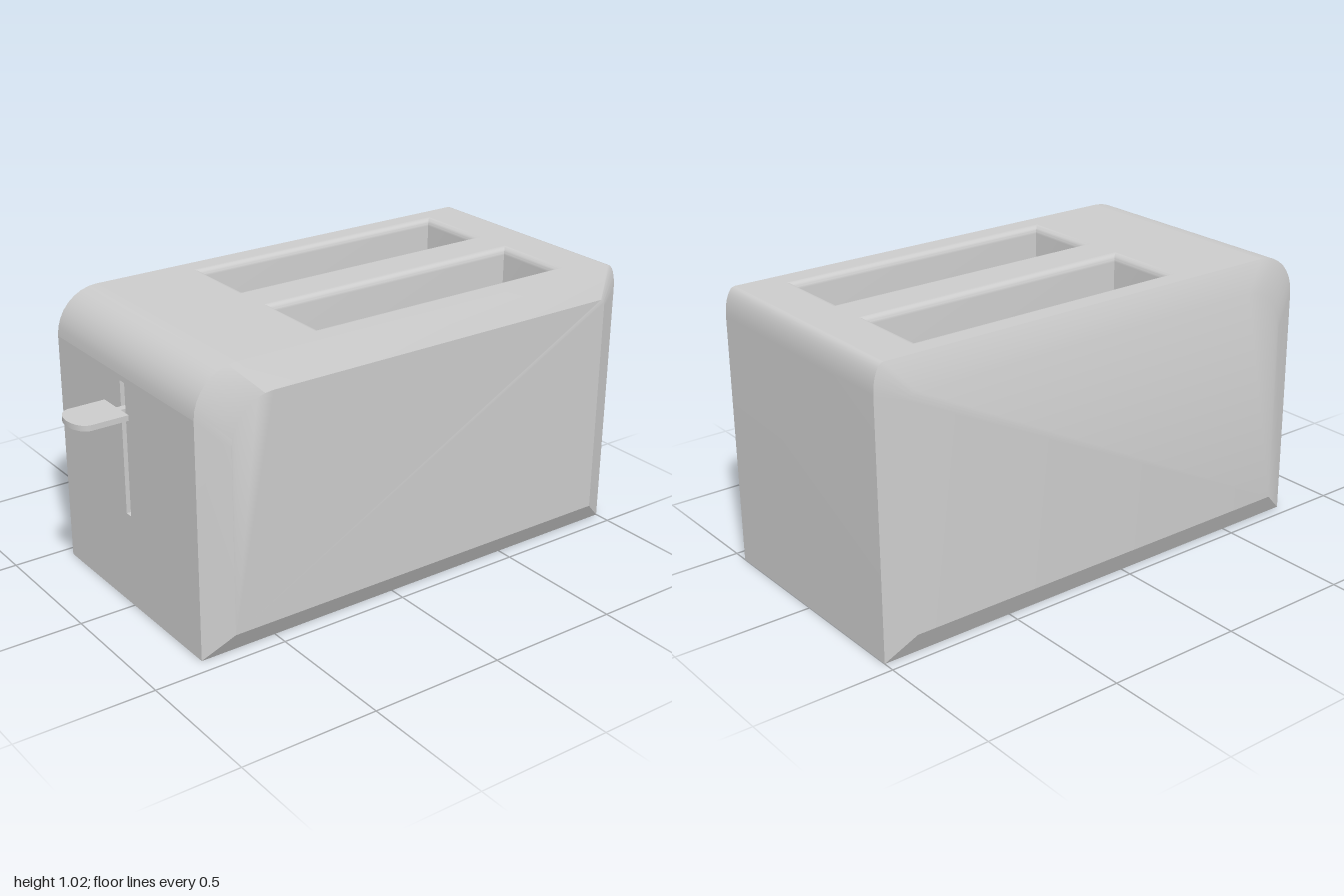
import * as THREE from 'three';
import { toCreasedNormals } from 'three/addons/utils/BufferGeometryUtils.js';

const material = new THREE.MeshStandardMaterial({ color: 0xcccccc });
const V = (x, y, z) => new THREE.Vector3(x, y, z);
const ARC = 8;
const LEFT = 1, RIGHT = -0.79, TOP = 1.02, FRONT = 0.44, BACK = -0.455;

// Skin a row of closed loops, with optional flat ends
function loft(loops, { startCap = false, endCap = false, skip = () => false } = {}) {
  const pos = [];
  const tri = (...points) => points.forEach((p) => pos.push(p.x, p.y, p.z));
  const n = loops[0].length;
  for (let i = 0; i < loops.length - 1; i++) {
    for (let j = 0; j < n; j++) {
      if (skip(i, j)) continue;
      const k = (j + 1) % n;
      const a = loops[i][j], b = loops[i][k], c = loops[i + 1][k], d = loops[i + 1][j];
      tri(a, b, c);
      tri(a, c, d);
    }
  }
  const first = loops[0], last = loops[loops.length - 1];
  for (let j = 1; j < n - 1; j++) {
    if (startCap) tri(first[0], first[j + 1], first[j]);
    if (endCap) tri(last[0], last[j], last[j + 1]);
  }
  const geometry = new THREE.BufferGeometry();
  geometry.setAttribute('position', new THREE.Float32BufferAttribute(pos, 3));
  return toCreasedNormals(geometry, THREE.MathUtils.degToRad(25));
}

// Side outline: square at the bottom, a separate rounding at each upper corner
function outline(z, x0, x1, y0, y1, rx, ry, r) {
  const points = [V(x0, y0, z), V(x1, y0, z)];
  for (let i = 0; i <= ARC; i++) {
    const a = (i / ARC) * Math.PI / 2;
    points.push(V(x1 - rx + rx * Math.cos(a), y1 - ry + ry * Math.sin(a), z));
  }
  for (let i = 0; i <= ARC; i++) {
    const a = Math.PI / 2 + (i / ARC) * Math.PI / 2;
    points.push(V(x0 + r + r * Math.cos(a), y1 - r + r * Math.sin(a), z));
  }
  return points;
}

function rectangle(PathType, x0, x1, y0, y1) {
  return new PathType([[x0, y0], [x1, y0], [x1, y1], [x0, y1]].map((p) => new THREE.Vector2(...p)));
}

export function createModel() {
  const group = new THREE.Group();
  const add = (name, geometry) => {
    const mesh = new THREE.Mesh(geometry, material);
    mesh.name = name;
    group.add(mesh);
    return mesh;
  };

  // Housing with chamfered front and back, open where the cut panels sit
  const outer = (z) => outline(z, RIGHT, LEFT, 0, TOP, 0.04, 0.1, 0.16);
  const inner = (z) => outline(z, -0.69, 0.9, 0.09, 0.92, 0.02, 0.03, 0.16);
  add('housing', loft([inner(-0.5), outer(BACK), outer(FRONT), inner(0.495)], {
    startCap: true,
    endCap: true,
    skip: (i, j) => i === 1 && (j === ARC + 2 || j === 2 * ARC + 3),
  }));

  // Top panel with two bread openings
  const slots = [[-0.39, -0.075], [0.055, 0.37]];
  const slotX0 = -0.28, slotX1 = 0.81;
  const topShape = rectangle(THREE.Shape, RIGHT + 0.16, LEFT - 0.04, -FRONT, -BACK);
  slots.forEach(([z0, z1]) => topShape.holes.push(rectangle(THREE.Path, slotX0, slotX1, -z1, -z0)));
  add('topPanel', new THREE.ShapeGeometry(topShape).rotateX(-Math.PI / 2)).position.y = TOP;

  // Bread slots: rounded lip, straight walls and a floor
  slots.forEach(([z0, z1], index) => {
    const ring = (y, inset) => {
      const a = slotX0 + inset, b = slotX1 - inset, c = z0 + inset, d = z1 - inset;
      return [V(b, y, d), V(b, y, c), V(a, y, c), V(a, y, d)];
    };
    const loops = [];
    const lip = 0.025;
    for (let i = 0; i <= 6; i++) {
      const a = (i / 6) * Math.PI / 2;
      loops.push(ring(TOP - lip * (1 - Math.cos(a)), lip * Math.sin(a)));
    }
    loops.push(ring(0.2, lip));
    add(index ? 'frontBreadSlot' : 'backBreadSlot', loft(loops, { endCap: true }));
  });

  // End panel with a narrow lever track
  const track = { z0: -0.023, z1: 0.007, y0: 0.35, y1: 0.84 };
  const endShape = rectangle(THREE.Shape, BACK, FRONT, 0, TOP - 0.16);
  endShape.holes.push(rectangle(THREE.Path, track.z0, track.z1, track.y0, track.y1));
  add('endPanel', new THREE.ShapeGeometry(endShape).rotateY(-Math.PI / 2)).position.x = RIGHT;
  const trackRing = (x) => [
    V(x, track.y0, track.z0), V(x, track.y0, track.z1),
    V(x, track.y1, track.z1), V(x, track.y1, track.z0),
  ];
  add('leverTrack', loft([trackRing(RIGHT), trackRing(RIGHT + 0.06)], { endCap: true }));

  // Lever: thin stem and a paddle with a curved tip
  add('leverStem', new THREE.BoxGeometry(0.09, 0.012, 0.028)).position.set(-0.775, 0.742, -0.008);
  const paddle = new THREE.Shape();
  paddle.moveTo(-0.815, -0.08);
  paddle.lineTo(-0.815, 0.08);
  paddle.lineTo(-0.95, 0.08);
  paddle.absellipse(-0.95, 0, 0.05, 0.08, Math.PI / 2, Math.PI * 1.5, false);
  const paddleGeometry = new THREE.ExtrudeGeometry(paddle, { depth: 0.02, bevelEnabled: false, curveSegments: 10 });
  add('leverPaddle', toCreasedNormals(paddleGeometry.rotateX(-Math.PI / 2), 0.6)).position.set(0, 0.735, -0.008);

  return group;
}
